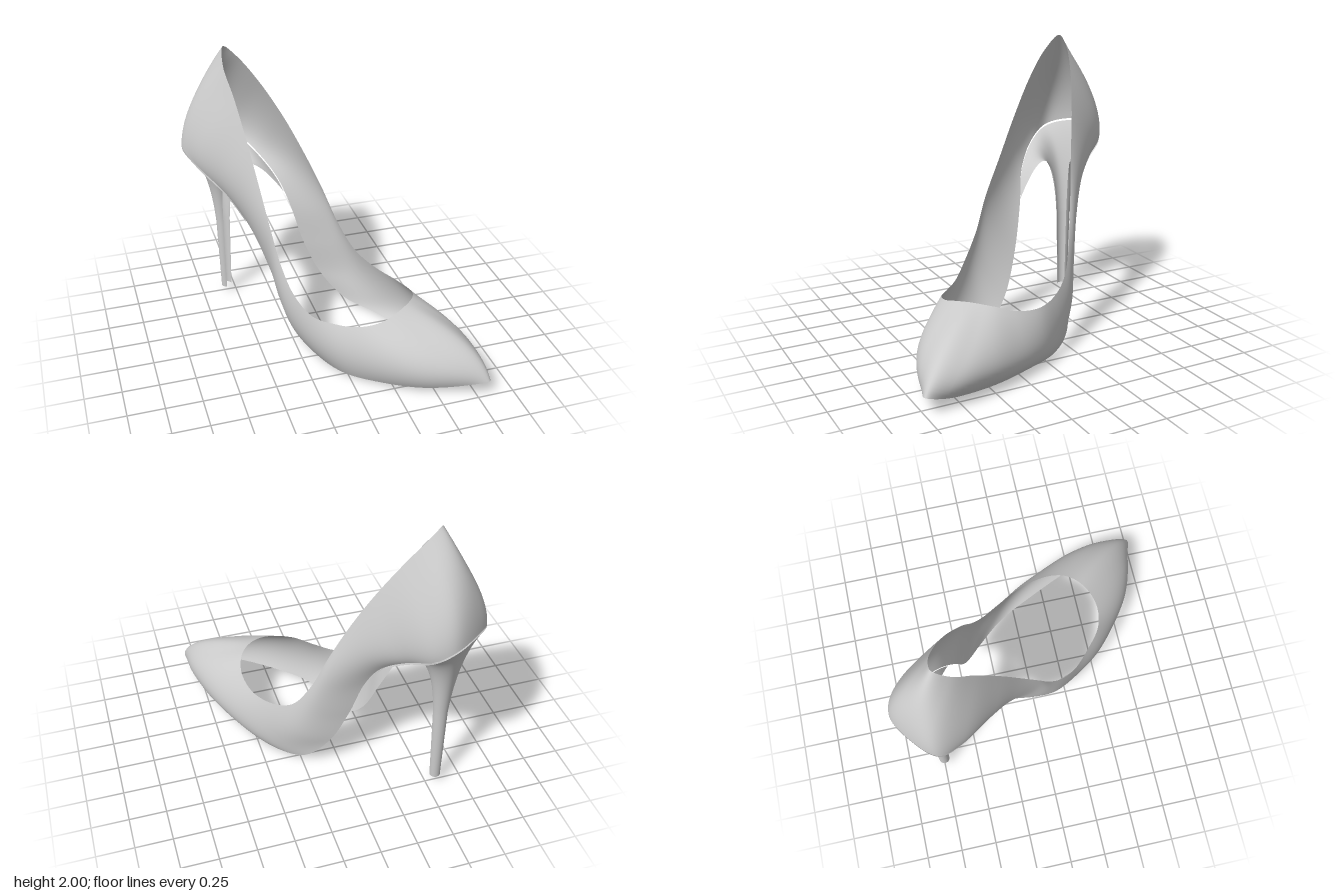
import * as THREE from 'three';

// Three loops round the shoe: heel centre -> outer side -> toe -> inner side
const TOPLINE = [
  -0.52, 2, -0.66, -0.43, 1.92, -0.67, -0.3, 1.75, -0.63, -0.15, 1.5, -0.555, -0.02, 1.23, -0.475,
  0.09, 0.97, -0.41, 0.2, 0.68, -0.34, 0.3, 0.49, -0.25, 0.4, 0.41, -0.12, 0.5, 0.39, 0.06,
  0.535, 0.42, 0.25, 0.51, 0.46, 0.37, 0.47, 0.475, 0.44, 0.41, 0.48, 0.5, 0.32, 0.468, 0.555,
  0.2, 0.437, 0.585, 0.06, 0.41, 0.555, -0.07, 0.39, 0.455, -0.2, 0.4, 0.33, -0.29, 0.51, 0.21,
  -0.345, 0.68, 0.1, -0.385, 0.9, 0.01, -0.425, 1.18, -0.13, -0.465, 1.45, -0.265,
  -0.51, 1.72, -0.42, -0.545, 1.9, -0.56,
];
const WAIST = [
  -0.65, 1.67, -0.82, -0.51, 1.62, -0.9, -0.36, 1.46, -0.88, -0.2, 1.27, -0.73, -0.05, 1.07, -0.58,
  0.09, 0.8, -0.46, 0.17, 0.52, -0.4, 0.28, 0.28, -0.32, 0.42, 0.17, -0.16, 0.57, 0.16, 0.04,
  0.69, 0.18, 0.28, 0.77, 0.23, 0.52, 0.78, 0.27, 0.71, 0.7, 0.325, 0.82, 0.53, 0.28, 0.87,
  0.33, 0.24, 0.83, 0.1, 0.21, 0.68, -0.08, 0.2, 0.51, -0.21, 0.19, 0.32, -0.305, 0.27, 0.16,
  -0.36, 0.45, 0.05, -0.4, 0.7, -0.06, -0.49, 0.98, -0.19, -0.6, 1.22, -0.33,
  -0.72, 1.42, -0.52, -0.75, 1.58, -0.71,
];
const HEM = [
  -0.71, 1.33, -0.89, -0.53, 1.31, -0.99, -0.41, 1.23, -0.95, -0.29, 1.13, -0.79, -0.18, 0.98, -0.63,
  -0.11, 0.79, -0.535, -0.03, 0.5, -0.47, 0.09, 0.23, -0.41, 0.24, 0.05, -0.31, 0.42, 0.005, -0.11,
  0.57, 0.01, 0.18, 0.71, 0.03, 0.51, 0.81, 0.075, 0.85, 0.825, 0.12, 1, 0.69, 0.09, 0.965,
  0.42, 0.05, 0.86, 0.17, 0.025, 0.69, -0.02, 0.01, 0.51, -0.13, 0, 0.28, -0.2, 0.03, 0.06,
  -0.27, 0.18, -0.09, -0.35, 0.47, -0.21, -0.46, 0.78, -0.31, -0.6, 1.02, -0.4,
  -0.77, 1.19, -0.58, -0.835, 1.28, -0.74,
];

function loop(flat) {
  const points = [];
  for (let i = 0; i < flat.length; i += 3) points.push(new THREE.Vector3(flat[i], flat[i + 1], flat[i + 2]));
  return new THREE.CatmullRomCurve3(points, true);
}

// Smooth sheet from a rule point(u, v); optionally joined to itself in u
function sheet(point, nu, nv, closed) {
  const positions = [], index = [];
  const columns = closed ? nu : nu + 1;
  for (let j = 0; j <= nv; j++) {
    for (let i = 0; i < columns; i++) positions.push(...point(i / nu, j / nv).toArray());
  }
  for (let j = 0; j < nv; j++) {
    for (let i = 0; i < nu; i++) {
      const a = j * columns + i, b = j * columns + ((i + 1) % columns);
      index.push(a, b, a + columns, b, b + columns, a + columns);
    }
  }
  const geometry = new THREE.BufferGeometry();
  geometry.setAttribute('position', new THREE.Float32BufferAttribute(positions, 3));
  geometry.setIndex(index);
  geometry.computeVertexNormals();
  return geometry;
}

// Quadratic blend from a to c, pulled towards the control point b
function bend(a, b, c, t) {
  return a.clone().multiplyScalar((1 - t) ** 2).addScaledVector(b, 2 * t * (1 - t)).addScaledVector(c, t * t);
}

export function createModel() {
  const group = new THREE.Group();
  const material = new THREE.MeshStandardMaterial({ color: 0xcccccc, side: THREE.DoubleSide });
  const add = (name, geometry) => {
    const mesh = new THREE.Mesh(geometry, material);
    mesh.name = name;
    group.add(mesh);
  };
  const topline = loop(TOPLINE), waist = loop(WAIST), hem = loop(HEM);

  // Upper: bulging wall between topline and hem, passing through the waist loop
  add('upper', sheet((u, v) => {
    const top = topline.getPoint(u), low = hem.getPoint(u);
    const control = waist.getPoint(u).multiplyScalar(2).addScaledVector(top, -0.5).addScaledVector(low, -0.5);
    return bend(top, control, low, v);
  }, 208, 20, true));

  // Heel: shell open to the front, hung under the hem and drawn into a slim stem
  const stations = HEM.length / 3;
  const back = new THREE.Vector3(-0.63, 0, -0.777), outer = new THREE.Vector3(0.777, 0, -0.63);
  const stem = (k, radius, y) => new THREE.Vector3(-0.57, y, -0.745)
    .addScaledVector(back, radius * Math.cos(k * 2.3))
    .addScaledVector(outer, radius * Math.sin(k * 2.3));
  add('heel', sheet((u, v) => {
    const k = 2 * u - 1;
    const station = k < 0 ? stations + 3.8 * k : 4.5 * k;
    const rim = hem.getPoint((station / stations) % 1);
    rim.y -= 0.015;
    const neck = stem(k, 0.05, 0.62);
    if (v > 0.8) return neck.lerp(stem(k, 0.037, 0.05), (v - 0.8) / 0.2);
    return bend(rim, stem(k, 0.085, 1.1 + 0.3 * k * k), neck, v / 0.8);
  }, 64, 40, false));

  return group;
}
